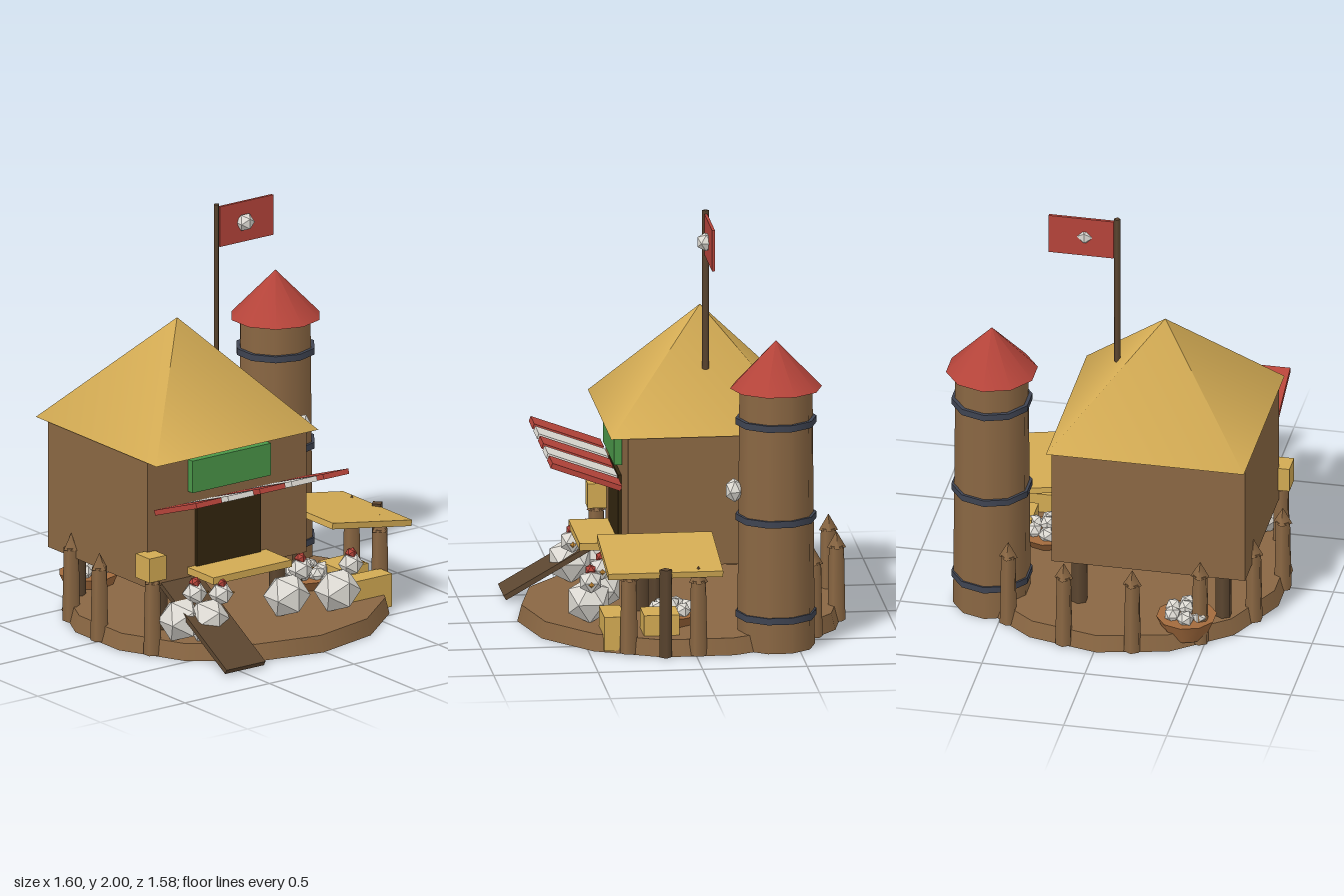
import * as THREE from 'three';

const mat = (name, color) => {
  const m = new THREE.MeshStandardMaterial({ color });
  m.name = name;
  return m;
};

export function createModel() {
  const wood = mat('wood', 0x8a6743);
  const darkWood = mat('dark wood', 0x5c4630);
  const straw = mat('straw', 0xd2aa53);
  const red = mat('red', 0xb5443a);
  const white = mat('white', 0xdedbd4);
  const green = mat('green', 0x4a9648);
  const slate = mat('slate', 0x3f4452);
  const clay = mat('clay', 0xa36b3d);
  const shadowBrown = mat('doorway brown', 0x33260f);
  const orange = mat('beak orange', 0xd0913a);

  const model = new THREE.Group();
  model.name = 'chickenFarm';

  const add = (name, geo, material, x, y, z, parent = model) => {
    const m = new THREE.Mesh(geo, material);
    m.name = name;
    m.position.set(x, y, z);
    parent.add(m);
    return m;
  };
  const box = (name, material, w, h, d, x, y, z, parent) =>
    add(name, new THREE.BoxGeometry(w, h, d), material, x, y, z, parent);
  // upright cylinder given by its bottom and top heights
  const post = (name, material, rTop, rBottom, y0, y1, x, z, sides, parent) =>
    add(name, new THREE.CylinderGeometry(rTop, rBottom, y1 - y0, sides), material, x, (y0 + y1) / 2, z, parent);
  const ball = (name, material, r, x, y, z, parent) =>
    add(name, new THREE.IcosahedronGeometry(r, 0), material, x, y, z, parent);

  // Round platform
  const cx = -0.01, cz = -0.01;
  post('platform', wood, 0.76, 0.78, 0, 0.08, cx, cz, 14);

  // Pointed fence posts, leaving the front open and the tower's place free
  for (let i = 0; i < 14; i++) {
    if ((i >= 2 && i <= 5) || i === 13) continue;
    const a = (i / 14) * Math.PI * 2;
    const fence = new THREE.Group();
    fence.name = 'fencePost';
    fence.position.set(cx + Math.cos(a) * 0.747, 0, cz + Math.sin(a) * 0.747);
    model.add(fence);
    post('fencePole', wood, 0.036, 0.043, 0.005, 0.37, 0, 0, 6, fence);
    post('fenceTip', wood, 0, 0.046, 0.36, 0.44, 0, 0, 4, fence);
  }

  // House on stilts with a pyramid thatch roof
  const hx = -0.21, hz = -0.127;
  for (const x of [-0.56, 0.14])
    for (const z of [-0.45, 0.2]) post('stilt', darkWood, 0.04, 0.04, 0.06, 0.33, x, z, 6);
  box('houseBody', wood, 0.94, 0.63, 0.795, hx, 0.635, hz);
  const roof = new THREE.ConeGeometry(0.48 * Math.SQRT2, 0.53, 4);
  roof.rotateY(Math.PI / 4);
  add('houseRoof', roof, straw, hx, 1.215, hz);

  // Shop front: doorway, counter, sign and striped awning
  box('doorway', shadowBrown, 0.38, 0.34, 0.02, hx, 0.53, 0.277);
  box('counter', straw, 0.465, 0.035, 0.21, hx, 0.362, 0.37);
  box('sign', green, 0.465, 0.16, 0.037, hx, 0.84, 0.292);
  for (let i = 0; i < 5; i++) {
    const slat = box('awningSlat', i % 2 ? white : red, 0.15, 0.026, 0.355, hx + (i - 2) * 0.188, 0.762, 0.468);
    slat.rotation.x = -0.35;
  }

  // Ramp down to the ground
  const ramp = box('ramp', darkWood, 0.23, 0.025, 0.61, -0.485, 0.172, 0.523);
  ramp.rotation.x = 0.52;

  // Small crate on the front left fence post
  box('postCrate', straw, 0.1, 0.12, 0.11, -0.685, 0.44, 0.305);

  // Flag
  post('flagPole', darkWood, 0.016, 0.016, 1.22, 2, 0.023, hz, 4);
  box('flag', red, 0.315, 0.2, 0.014, 0.197, 1.885, hz);
  ball('flagEmblem', white, 0.046, 0.18, 1.885, -0.109);

  // Tower with bands and a cone roof
  const tx = 0.575, tz = -0.4;
  post('towerBody', wood, 0.175, 0.186, 0, 1.27, tx, tz, 10);
  for (const y of [0.16, 0.635, 1.105])
    post('towerBand', slate, 0.194, 0.194, y - 0.016, y + 0.016, tx, tz, 10);
  post('towerRoof', red, 0, 0.22, 1.265, 1.495, tx, tz, 10);
  ball('towerEmblem', white, 0.06, tx, 0.765, -0.2).scale.z = 0.75;

  // Lean-to canopy with two posts and crates below
  const canopy = box('canopy', straw, 0.475, 0.03, 0.55, 0.535, 0.443, 0.15);
  canopy.rotation.z = -0.157;
  for (const x of [0.295, 0.768]) post('canopyPost', darkWood, 0.031, 0.031, 0.005, 0.435, x, 0.15, 4);
  box('frontCrate', straw, 0.23, 0.165, 0.1, 0.535, 0.095, 0.38);
  box('backCrate', straw, 0.17, 0.1, 0.17, 0.565, 0.13, 0.155);

  // Nest bowls heaped with eggs
  for (const [x, z, y0] of [[-0.405, -0.57, 0.03], [0.4, 0.08, 0.07]]) {
    const nest = new THREE.Group();
    nest.name = 'nest';
    nest.position.set(x, 0, z);
    model.add(nest);
    post('nestBowl', clay, 0.145, 0.1, y0, 0.13, 0, 0, 10, nest);
    for (let i = 0; i < 6; i++) {
      const a = (i / 6) * Math.PI * 2 + 0.4;
      ball('egg', white, 0.042, Math.cos(a) * 0.075, 0.15, Math.sin(a) * 0.075, nest).rotation.y = i;
    }
    ball('topEgg', white, 0.042, 0, 0.168, 0, nest);
  }

  // Chickens facing the model's left
  for (const [x, z] of [[0.06, 0.385], [0.3, 0.465], [-0.565, 0.385], [-0.47, 0.465]]) {
    const hen = new THREE.Group();
    hen.name = 'chicken';
    hen.position.set(x, 0, z);
    model.add(hen);
    ball('chickenBody', white, 0.113, 0, 0.172, 0, hen);
    ball('chickenHead', white, 0.06, 0.08, 0.287, 0, hen);
    ball('comb', red, 0.029, 0.08, 0.342, 0, hen);
    const beak = add('beak', new THREE.ConeGeometry(0.02, 0.05, 4), orange, 0.14, 0.28, 0, hen);
    beak.rotation.z = -Math.PI / 2;
  }

  return model;
}
